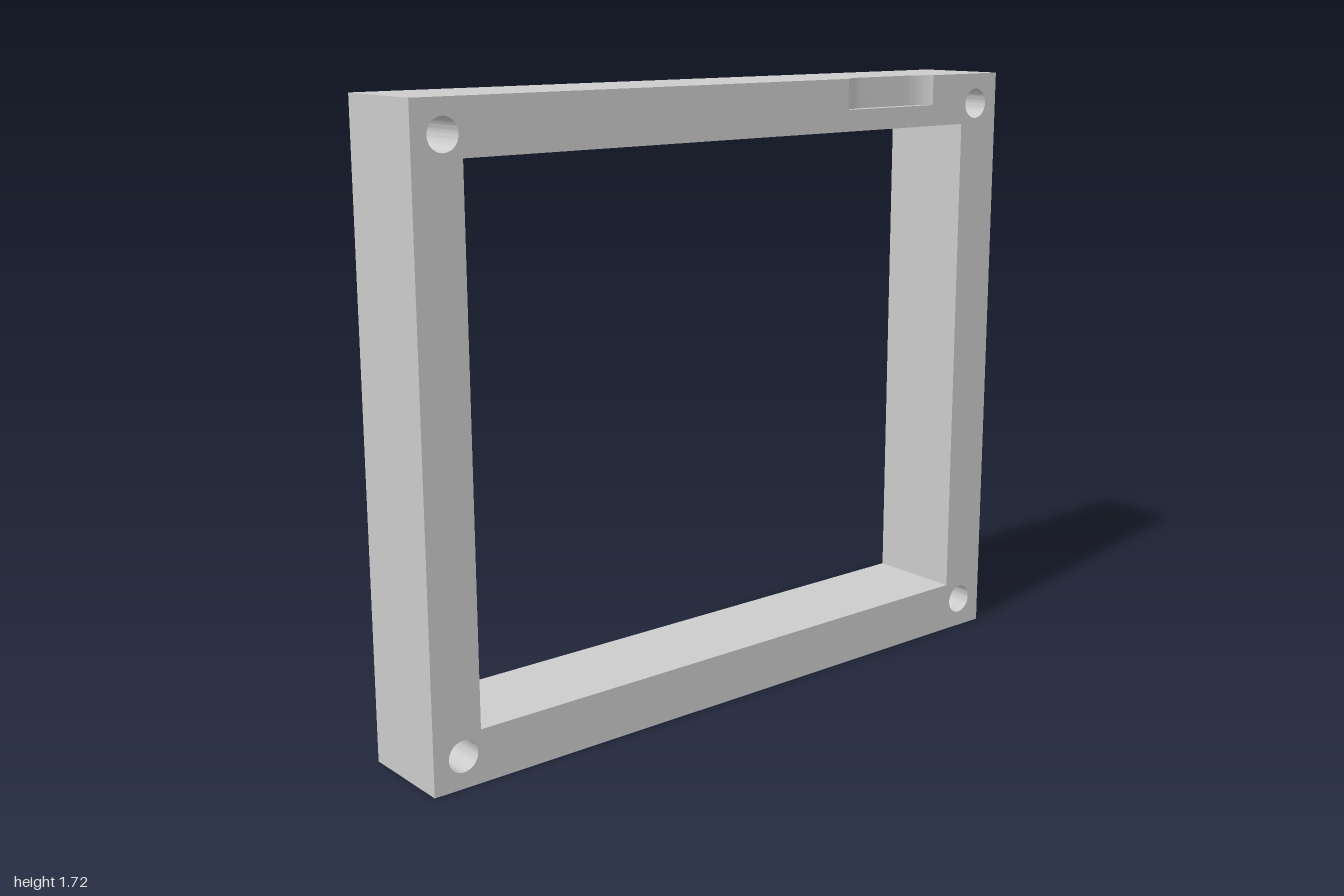
import * as THREE from 'three';
import { toCreasedNormals } from 'three/addons/utils/BufferGeometryUtils.js';

const W = 1, H = 1.72, D = 0.14;                  // half width, height, half depth
const NOTCH = { x0: 0.39, x1: 0.73, y: 1.635, z: 0.11 };

export function createModel() {
  const group = new THREE.Group();
  const material = new THREE.MeshStandardMaterial({ color: 0xcccccc });
  const add = (name, geometry) => {
    const mesh = new THREE.Mesh(toCreasedNormals(geometry, 0.5), material);
    mesh.name = name;
    group.add(mesh);
  };
  const polygon = (points) => new THREE.Shape(points.map(([x, y]) => new THREE.Vector2(x, y)));

  // Frame outline with a gap in the top edge for the finger notch
  const { x0, x1, y, z } = NOTCH;
  const outline = polygon([
    [-W, 0], [W, 0], [W, H], [x1, H], [x1, y], [x0, y], [x0, H], [-W, H],
  ]);
  // Window opening
  outline.holes.push(polygon([[-0.86, 0.145], [-0.86, 1.575], [0.855, 1.575], [0.855, 0.145]]));
  // Corner screw holes
  for (const cx of [-0.913, 0.913]) {
    for (const cy of [0.087, 1.633]) {
      const hole = new THREE.Path();
      hole.absarc(cx, cy, 0.043, 0, Math.PI * 2, true);
      outline.holes.push(hole);
    }
  }
  const frame = new THREE.ExtrudeGeometry(outline, { depth: 2 * D, bevelEnabled: false, curveSegments: 32 });
  frame.translate(0, 0, -D);
  add('frame', frame);

  // Block behind the notch, its front scooped with curved ends (shape y is -z)
  const scoop = new THREE.Shape();
  scoop.moveTo(x0, -D);
  scoop.quadraticCurveTo(x0 + 0.03, -z, x0 + 0.08, -z);
  scoop.lineTo(x1 - 0.08, -z);
  scoop.quadraticCurveTo(x1 - 0.03, -z, x1, -D);
  scoop.lineTo(x1, D);
  scoop.lineTo(x0, D);
  scoop.closePath();
  const back = new THREE.ExtrudeGeometry(scoop, { depth: H - y, bevelEnabled: false, curveSegments: 10 });
  back.rotateX(-Math.PI / 2).translate(0, y, 0);
  add('notchBack', back);

  return group;
}
